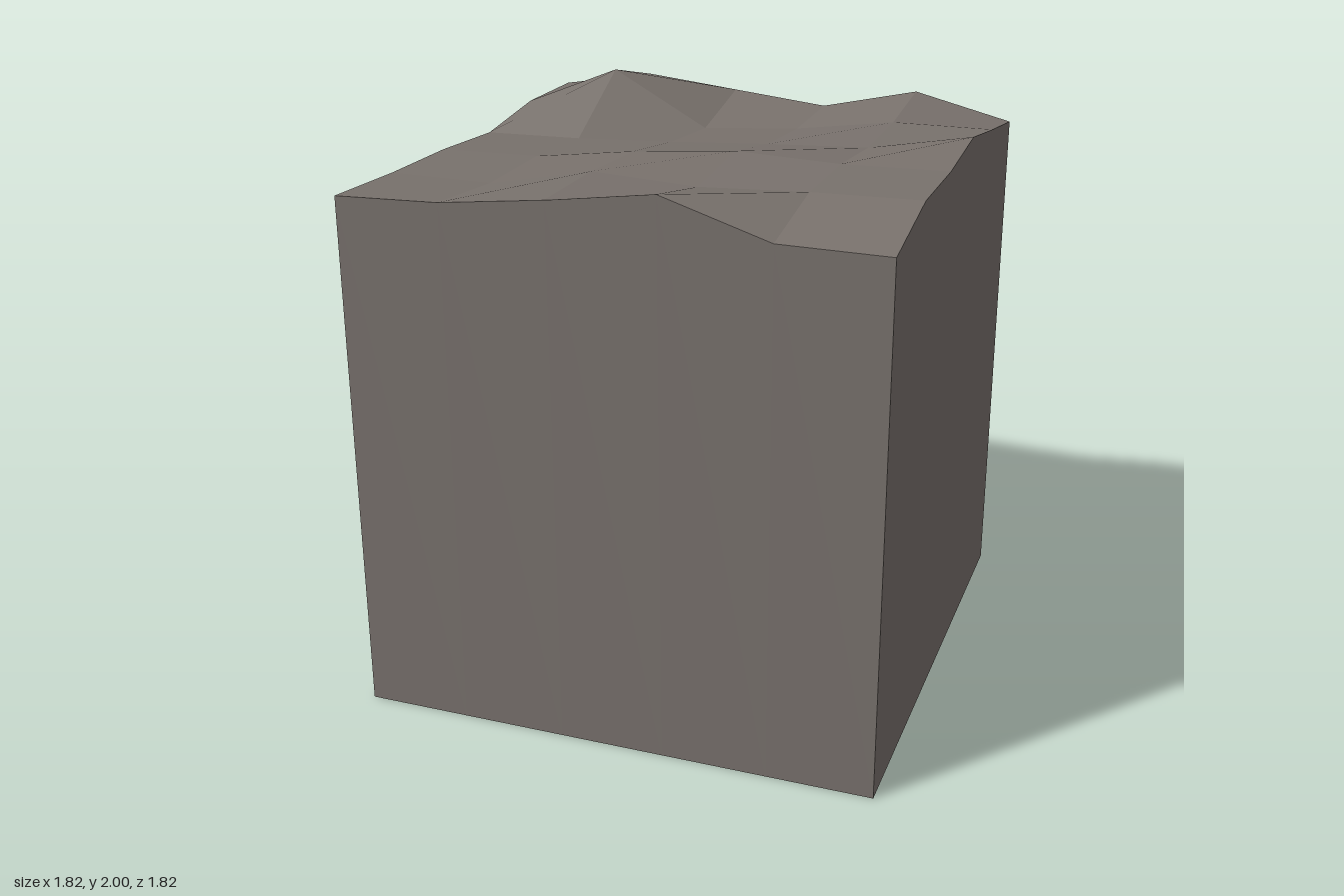
import * as THREE from 'three';

// Surface heights: rows run back to front, columns run from -x to +x.
const HEIGHTS = [
  [1.86, 1.92, 1.88, 1.84, 1.92, 1.83],
  [1.855, 2.0, 1.8, 1.825, 1.875, 1.875],
  [1.805, 1.81, 1.825, 1.845, 1.86, 1.925],
  [1.82, 1.825, 1.87, 1.9, 1.885, 1.89],
  [1.82, 1.815, 1.885, 1.865, 1.88, 1.885],
  [1.83, 1.84, 1.88, 1.93, 1.815, 1.81],
];
const N = 5;
const HALF = 0.91;
const coord = (k) => -HALF + (2 * HALF * k) / N;
const point = (i, j) => new THREE.Vector3(coord(i), HEIGHTS[j][i], coord(j));
const ground = (p) => new THREE.Vector3(p.x, 0, p.z);

// Builds a geometry from four-cornered facets, each with one flat normal.
function facets(quads) {
  const pos = [];
  const nor = [];
  for (const [a, b, c, d] of quads) {
    const n = c.clone().sub(a).cross(d.clone().sub(b)).normalize();
    for (const p of [a, b, d, b, c, d]) {
      pos.push(p.x, p.y, p.z);
      nor.push(n.x, n.y, n.z);
    }
  }
  const g = new THREE.BufferGeometry();
  g.setAttribute('position', new THREE.Float32BufferAttribute(pos, 3));
  g.setAttribute('normal', new THREE.Float32BufferAttribute(nor, 3));
  return g;
}

export function createModel() {
  const group = new THREE.Group();
  group.name = 'terrainBlock';
  const stone = new THREE.MeshStandardMaterial({ color: 0x78716c, side: THREE.DoubleSide });
  stone.name = 'stone';

  const add = (name, quads) => {
    const mesh = new THREE.Mesh(facets(quads), stone);
    mesh.name = name;
    group.add(mesh);
  };

  // Uneven top
  const top = [];
  for (let j = 0; j < N; j++) {
    for (let i = 0; i < N; i++) {
      top.push([point(i, j), point(i, j + 1), point(i + 1, j + 1), point(i + 1, j)]);
    }
  }
  add('roughTop', top);

  // Four walls down to the open underside
  const walls = {
    frontWall: (k) => point(k, N),
    leftWall: (k) => point(N, N - k),
    backWall: (k) => point(N - k, 0),
    rightWall: (k) => point(0, k),
  };
  for (const [name, rim] of Object.entries(walls)) {
    const quads = [];
    for (let k = 0; k < N; k++) {
      const p = rim(k);
      const q = rim(k + 1);
      quads.push([ground(p), ground(q), q, p]);
    }
    add(name, quads);
  }
  return group;
}
